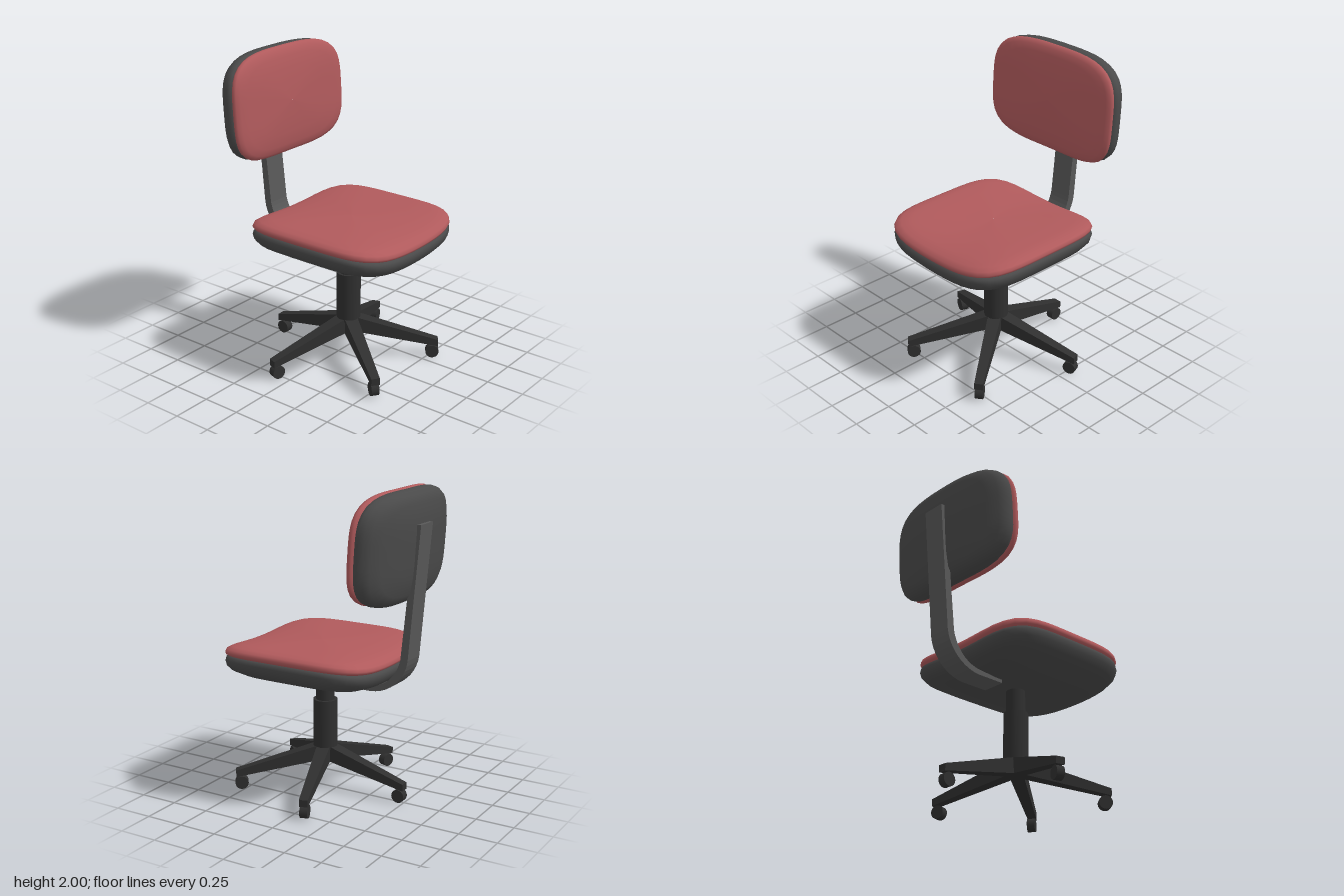
import * as THREE from 'three';

const mat = (color) => new THREE.MeshStandardMaterial({ color });
const red = mat(0xb05a5c), shellGrey = mat(0x4a4a4a), barGrey = mat(0x585858), black = mat(0x2f2f2f);

function add(parent, name, geometry, material) {
  const mesh = new THREE.Mesh(geometry, material);
  mesh.name = name;
  parent.add(mesh);
  return mesh;
}

// Half a cushion: [scale, height] rings from the seam inward on a rounded
// rectangle, with the left and right sides lifted
function cushionHalf(hx, hz, power, lift, profile, flip) {
  const N = 56, pos = [], index = [];
  for (const [s, h] of profile) {
    for (let j = 0; j < N; j++) {
      const a = (j / N) * Math.PI * 2, c = Math.cos(a), d = Math.sin(a);
      const r = s / Math.pow(Math.abs(c) ** power + Math.abs(d) ** power, 1 / power);
      pos.push(hx * r * c, h + lift * (r * c) ** 2, hz * r * d);
    }
  }
  for (let i = 0; i < profile.length - 1; i++) {
    for (let j = 0; j < N; j++) {
      const k = (j + 1) % N;
      const a = i * N + j, b = a + N, c = i * N + k, d = c + N;
      if (flip) index.push(a, c, b, b, c, d);
      else index.push(a, b, c, b, d, c);
    }
  }
  const g = new THREE.BufferGeometry();
  g.setAttribute('position', new THREE.Float32BufferAttribute(pos, 3));
  g.setIndex(index);
  g.computeVertexNormals();
  return g;
}

const PAD = [[0.965, 0], [0.99, 0.008], [1, 0.022], [0.985, 0.043], [0.93, 0.062], [0.82, 0.079],
  [0.6, 0.094], [0.3, 0.104], [0.002, 0.108]];
const SHELL = [[0.965, 0], [0.99, -0.01], [1, -0.032], [0.985, -0.065], [0.93, -0.095], [0.8, -0.122],
  [0.5, -0.135], [0.25, -0.138], [0.002, -0.138]];

// Coloured pad over a grey shell
function cushion(name, hx, hz, power, lift, padScale) {
  const g = new THREE.Group();
  g.name = name;
  const pad = PAD.map(([s, h]) => [s, h * padScale]);
  add(g, name + 'Pad', cushionHalf(hx, hz, power, lift, pad, false), red);
  add(g, name + 'Shell', cushionHalf(hx, hz, power, lift, SHELL, true), shellGrey);
  return g;
}

// Tapered leg running outward along +z and sloping down
function legGeometry() {
  const g = new THREE.BoxGeometry(1, 1, 1), p = g.attributes.position;
  for (let i = 0; i < p.count; i++) {
    const tip = p.getZ(i) > 0, up = p.getY(i) > 0;
    const y = tip ? (up ? 0.13 : 0.085) : (up ? 0.308 : 0.2);
    p.setXYZ(i, p.getX(i) * (tip ? 0.055 : 0.09), y, tip ? 0.585 : 0);
  }
  g.computeVertexNormals();
  return g;
}

export function createModel() {
  const model = new THREE.Group();
  model.name = 'officeChair';

  // Seat and backrest
  const seat = cushion('seat', 0.513, 0.518, 4.5, 0.055, 1);
  seat.position.set(0, 0.887, 0.105);
  const back = cushion('backrest', 0.516, 0.343, 3.7, 0.045, 0.82);
  back.position.set(0, 1.658, -0.455);
  back.rotation.x = Math.PI / 2 - 0.065;
  model.add(seat, back);

  // Bent flat bar from under the seat to behind the backrest
  const s = new THREE.Shape();
  s.moveTo(0.105, 0.731);
  s.lineTo(0.29, 0.731);
  s.bezierCurveTo(0.43, 0.735, 0.535, 0.84, 0.55, 0.96);
  s.lineTo(0.625, 1.8);
  s.lineTo(0.588, 1.8);
  s.lineTo(0.5, 0.96);
  s.bezierCurveTo(0.48, 0.87, 0.41, 0.775, 0.29, 0.765);
  s.lineTo(0.105, 0.755);
  const barGeo = new THREE.ExtrudeGeometry(s, { depth: 0.156, bevelEnabled: false, curveSegments: 10 });
  barGeo.translate(0, 0, -0.078);
  barGeo.rotateY(Math.PI / 2);
  add(model, 'backBar', barGeo, barGrey);

  // Base: gas-lift column with five legs and casters
  const base = new THREE.Group();
  base.name = 'base';
  base.position.z = 0.083;
  model.add(base);
  add(base, 'columnSleeve', new THREE.CylinderGeometry(0.078, 0.078, 0.33, 32), black).position.y = 0.435;
  add(base, 'columnPiston', new THREE.CylinderGeometry(0.06, 0.06, 0.18, 32), black).position.y = 0.67;

  const legGeo = legGeometry();
  const wheelGeo = new THREE.CylinderGeometry(0.043, 0.043, 0.05, 20);
  wheelGeo.rotateZ(Math.PI / 2);
  for (let i = 0; i < 5; i++) {
    const arm = new THREE.Group();
    arm.name = 'legWithCaster';
    arm.rotation.y = Math.PI + (i * Math.PI * 2) / 5;
    add(arm, 'leg', legGeo, black);
    add(arm, 'caster', wheelGeo, black).position.set(0, 0.043, 0.548);
    base.add(arm);
  }
  return model;
}
